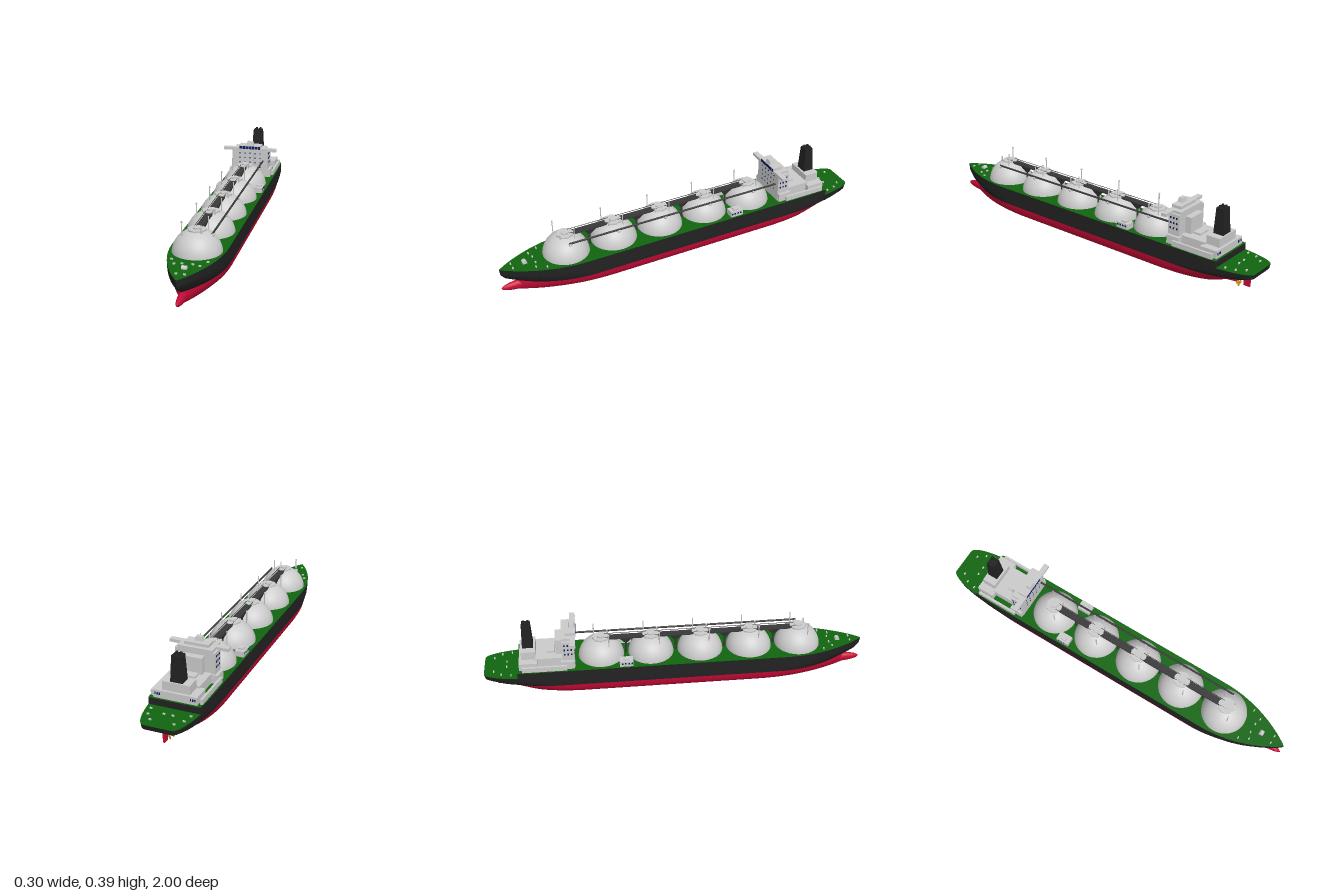
import * as THREE from 'three';
import { toCreasedNormals } from 'three/addons/utils/BufferGeometryUtils.js';

const mat = (color) => new THREE.MeshStandardMaterial({ color, side: THREE.DoubleSide });
const GREY = mat(0xcccccc), BLACK = mat(0x222222), RED = mat(0xc80a36), GREEN = mat(0x11660f);
const BLUE = mat(0x0c1a5c), GOLD = mat(0xd09a18), DARK = mat(0x3a3a3a);
const N = 56;

// Half-breadth of one waterline; lv = {y, s: stern z, b: bow z, w, f: stern fullness, l: bow length, a: stern length}
function halfWidth(lv, z) {
  const db = Math.min(1, Math.max(0, (lv.b - z) / lv.l));
  const ds = Math.min(1, Math.max(0, (z - lv.s) / lv.a));
  const bow = Math.pow(1 - (1 - db) ** 2, 0.92);
  const stern = lv.f + (1 - lv.f) * Math.sqrt(1 - (1 - ds) ** 2);
  return lv.w * bow * stern;
}

// Closed waterline loop: left side from stern to bow, right side back again
function waterline(lv, cut = lv.s) {
  const left = [];
  for (let i = 0; i <= N; i++) {
    const z = cut + (lv.b - cut) * (1 - Math.cos((Math.PI * i) / N)) / 2;
    left.push([halfWidth(lv, z), lv.y, z]);
  }
  return left.concat(left.slice().reverse().map(([x, y, z]) => [-x, y, z]));
}

function indexed(points, index) {
  const g = new THREE.BufferGeometry();
  g.setAttribute('position', new THREE.Float32BufferAttribute(points.flat(), 3));
  g.setIndex(index);
  return toCreasedNormals(g, 0.7);
}

// Skin between waterlines, listed from low to high
function skin(loops) {
  const m = loops[0].length, index = [];
  for (let k = 0; k < loops.length - 1; k++) {
    for (let i = 0; i < m; i++) {
      const j = (i + 1) % m, a = k * m + i, b = k * m + j;
      index.push(a, a + m, b, b, a + m, b + m);
    }
  }
  return indexed(loops.flat(), index);
}

// Flat surface filling one waterline
function cap(loop, up) {
  const index = [];
  for (let i = 0; i < N; i++) {
    const r = 2 * N + 1 - i;
    if (up) index.push(i, r, i + 1, i + 1, r, r - 1);
    else index.push(i, i + 1, r, i + 1, r - 1, r);
  }
  return indexed(loop, index);
}

export function createModel() {
  const ship = new THREE.Group();
  ship.name = 'gasCarrier';

  const add = (name, geo, material, x = 0, y = 0, z = 0, parent = ship) => {
    const m = new THREE.Mesh(geo, material);
    m.name = name;
    m.position.set(x, y, z);
    parent.add(m);
    return m;
  };
  // Box given by its limits
  const box = (name, material, x0, x1, y0, y1, z0, z1, parent = ship) =>
    add(name, new THREE.BoxGeometry(x1 - x0, y1 - y0, z1 - z0), material,
      (x0 + x1) / 2, (y0 + y1) / 2, (z0 + z1) / 2, parent);
  const post = (name, r, y0, y1, x, z, material = GREY, parent = ship) =>
    add(name, new THREE.CylinderGeometry(r, r, y1 - y0, 8), material, x, (y0 + y1) / 2, z, parent);

  // Hull
  const L = (y, s, b, w, f, l, a = 0.3) => ({ y, s, b, w, f, l, a });
  const top = L(0.165, -1, 1, 0.137, 0.5, 0.42);
  const mid = L(0.13, -1, 0.995, 0.137, 0.5, 0.42);
  const water = L(0.075, -0.9, 0.92, 0.136, 0.3, 0.38);
  const under = [
    L(0.015, -0.76, 0.91, 0.1, 0.3, 0.5),
    L(0.018, -0.78, 0.915, 0.112, 0.25, 0.48),
    L(0.028, -0.81, 0.92, 0.122, 0.2, 0.45),
    L(0.045, -0.85, 0.925, 0.13, 0.15, 0.42),
    L(0.06, -0.88, 0.925, 0.134, 0.2, 0.4),
    water,
  ].map((lv) => waterline(lv));
  const black = [
    water,
    L(0.088, -0.96, 0.945, 0.137, 0.4, 0.39),
    L(0.105, -0.995, 0.975, 0.137, 0.48, 0.4),
    mid,
  ].map((lv) => waterline(lv));
  add('underwaterHull', skin(under), RED);
  add('hullBottom', cap(under[0], false), RED);
  add('upperHull', skin(black), BLACK);
  add('sternDeck', cap(black[3], true), GREEN);
  const upper = [waterline(mid, -0.825), waterline(top, -0.825)];
  add('raisedHull', skin(upper), BLACK);
  add('mainDeck', cap(upper[1], true), GREEN);
  add('bulbousBow', new THREE.SphereGeometry(1, 24, 16), RED, 0, 0.046, 0.86).scale.set(0.021, 0.028, 0.14);

  // Rudder and propeller
  box('rudder', RED, -0.005, 0.005, 0.018, 0.066, -0.94, -0.906);
  post('rudderStock', 0.005, 0.06, 0.1, 0, -0.918, RED);
  const propeller = new THREE.Group();
  propeller.name = 'propeller';
  propeller.position.set(0, 0.024, -0.878);
  ship.add(propeller);
  add('hub', new THREE.CylinderGeometry(0.005, 0.006, 0.03, 12), GOLD, 0, 0, 0.004, propeller).rotation.x = Math.PI / 2;
  for (let i = 0; i < 4; i++) {
    const a = (i * Math.PI) / 2;
    const blade = add('blade', new THREE.SphereGeometry(1, 10, 8), GOLD, -Math.sin(a) * 0.014, Math.cos(a) * 0.014, 0, propeller);
    blade.scale.set(0.007, 0.01, 0.002);
    blade.rotation.set(0, 0.5, a, 'ZYX');
  }
  add('propellerShaft', new THREE.CylinderGeometry(0.005, 0.012, 0.08, 12), RED, 0, 0.026, -0.83).rotation.x = -Math.PI / 2;

  // Spherical cargo tanks with their top platforms and masts
  const domeAngle = Math.acos(0.01 / 0.12);
  for (let i = 0; i < 5; i++) {
    const tank = new THREE.Group();
    tank.name = 'cargoTank';
    tank.position.z = 0.65 - 0.26 * i;
    ship.add(tank);
    add('dome', new THREE.SphereGeometry(0.12, 40, 20, 0, Math.PI * 2, 0, domeAngle), GREY, 0, 0.154, 0, tank);
    add('topPlatform', new THREE.CylinderGeometry(0.044, 0.044, 0.008, 8).toNonIndexed(), GREY, 0, 0.27, 0, tank);
    add('topHatch', new THREE.CylinderGeometry(0.019, 0.019, 0.012, 12), GREY, 0, 0.276, 0, tank);
    post('ventMast', 0.0028, 0.25, 0.325, 0.045, -0.035, GREY, tank);
    post('ventMast', 0.0028, 0.24, 0.315, -0.062, 0.04, GREY, tank);
    add('mastHead', new THREE.CylinderGeometry(0.005, 0.004, 0.008, 8), GREY, -0.062, 0.315, 0.04, tank);
    post('shortVent', 0.004, 0.25, 0.292, 0.03, 0.035, GREY, tank);
    add('pipeConnector', new THREE.SphereGeometry(0.009, 12, 8), GREY, 0.075, 0.25, 0, tank);
    post('connectorStem', 0.005, 0.23, 0.25, 0.075, 0, GREY, tank);
  }

  // Catwalk, its flared supports and the side pipe
  for (let i = 0; i < 4; i++) {
    const z = 0.52 - 0.26 * i;
    box('catwalk', DARK, -0.018, 0.018, 0.262, 0.27, z - 0.11, z + 0.11);
    for (const s of [-1, 1]) box('catwalkRail', DARK, s * 0.018 - 0.001, s * 0.018 + 0.001, 0.277, 0.279, z - 0.11, z + 0.11);
    const flare = new THREE.CylinderGeometry(0.045, 0.008, 0.035, 4).rotateY(Math.PI / 4).toNonIndexed();
    flare.computeVertexNormals();
    add('supportFlare', flare, DARK, 0, 0.245, z).scale.x = 0.55;
    post('supportPost', 0.005, 0.165, 0.23, 0, z, DARK);
  }
  add('sidePipe', new THREE.CylinderGeometry(0.005, 0.005, 1.19, 10), DARK, 0.075, 0.257, 0.06).rotation.x = Math.PI / 2;

  // Deck cabins amidships
  for (const s of [-1, 1]) {
    box('deckCabin', GREY, s * 0.105 - 0.024, s * 0.105 + 0.024, 0.165, 0.195, -0.3, -0.23);
    box('cabinRoof', GREY, s * 0.105 - 0.014, s * 0.105 + 0.014, 0.195, 0.203, -0.28, -0.25);
    for (let k = 0; k < 4; k++) {
      const z = -0.29 + k * 0.0165;
      box('cabinWindow', BLUE, s * 0.129 - 0.001, s * 0.129 + 0.001, 0.178, 0.187, z, z + 0.008);
    }
  }

  // Superstructure
  box('lowerHouse', GREY, -0.118, 0.118, 0.165, 0.21, -0.6, -0.53);
  box('accommodation', GREY, -0.103, 0.103, 0.165, 0.32, -0.592, -0.528);
  box('middleHouse', GREY, -0.085, 0.085, 0.165, 0.215, -0.73, -0.59);
  box('stairTower', GREY, -0.05, 0.05, 0.2, 0.3, -0.625, -0.59);
  box('rearDeckBox', GREY, -0.035, 0.035, 0.21, 0.225, -0.67, -0.63);
  box('engineHouse', GREY, -0.11, 0.11, 0.165, 0.205, -0.815, -0.72);
  box('engineCasing', GREY, -0.07, 0.07, 0.2, 0.25, -0.802, -0.728);
  for (const s of [-1, 1]) box('sideWalkway', GREY, s * 0.124 - 0.006, s * 0.124 + 0.006, 0.165, 0.192, -0.8, -0.57);

  // Bridge with wings
  box('bridgeWings', GREY, -0.152, 0.152, 0.317, 0.333, -0.548, -0.52);
  box('bridgeDeck', GREY, -0.09, 0.09, 0.318, 0.333, -0.592, -0.525);
  box('wheelhouse', GREY, -0.063, 0.063, 0.325, 0.348, -0.572, -0.517);
  const mastBase = new THREE.CylinderGeometry(0.022, 0.03, 0.022, 4).rotateY(Math.PI / 4).toNonIndexed();
  mastBase.computeVertexNormals();
  add('radarBase', mastBase, GREY, 0, 0.359, -0.535).scale.z = 0.7;
  for (let i = 0; i < 7; i++) {
    const x = (i - 3) * 0.0175;
    box('bridgeWindow', BLUE, x - 0.0075, x + 0.0075, 0.328, 0.344, -0.518, -0.516);
  }
  for (let r = 0; r < 4; r++) {
    const y = 0.3 - r * 0.027;
    for (let i = -2; i <= 2; i++) {
      box('frontWindow', BLUE, i * 0.029 - 0.003, i * 0.029 + 0.003, y - 0.004, y + 0.004, -0.529, -0.527);
    }
    if (r < 3) for (const s of [-1, 1]) for (let k = 0; k < 3; k++) {
      const z = -0.578 + k * 0.018;
      box('sideWindow', BLUE, s * 0.103 - 0.001, s * 0.103 + 0.001, y - 0.005, y + 0.005, z - 0.004, z + 0.004);
    }
  }
  for (const s of [-1, 1]) for (let k = 0; k < 3; k++) {
    const x = s * (0.078 + k * 0.011);
    box('rearWindow', BLUE, x - 0.003, x + 0.003, 0.182, 0.194, -0.816, -0.814);
  }

  // Funnel with exhaust pipes
  const funnel = new THREE.CylinderGeometry(0.022 * Math.SQRT2, 0.028 * Math.SQRT2, 0.135, 4).rotateY(Math.PI / 4).toNonIndexed();
  funnel.computeVertexNormals();
  add('funnel', funnel, BLACK, 0, 0.3145, -0.767).scale.x = 1.12;
  for (const x of [-0.011, 0.011]) for (const z of [-0.778, -0.757]) post('exhaustPipe', 0.005, 0.37, 0.392, x, z, BLACK);

  // Mooring gear on bow and stern
  add('bowWinch', new THREE.CylinderGeometry(0.012, 0.012, 0.025, 12), GREY, 0, 0.169, 0.87).rotation.z = Math.PI / 2;
  for (const s of [-1, 1]) {
    for (const [x, y, z] of [[0.025, 0.165, 0.82], [0.06, 0.165, 0.83], [0.02, 0.165, 0.935], [0.085, 0.165, 0.78],
      [0.022, 0.13, -0.885], [0.06, 0.13, -0.95], [0.09, 0.13, -0.91], [0.1, 0.13, -0.86]]) {
      box('bollard', GREY, s * x - 0.006, s * x + 0.006, y, y + 0.007, z - 0.003, z + 0.003);
    }
  }
  return ship;
}
